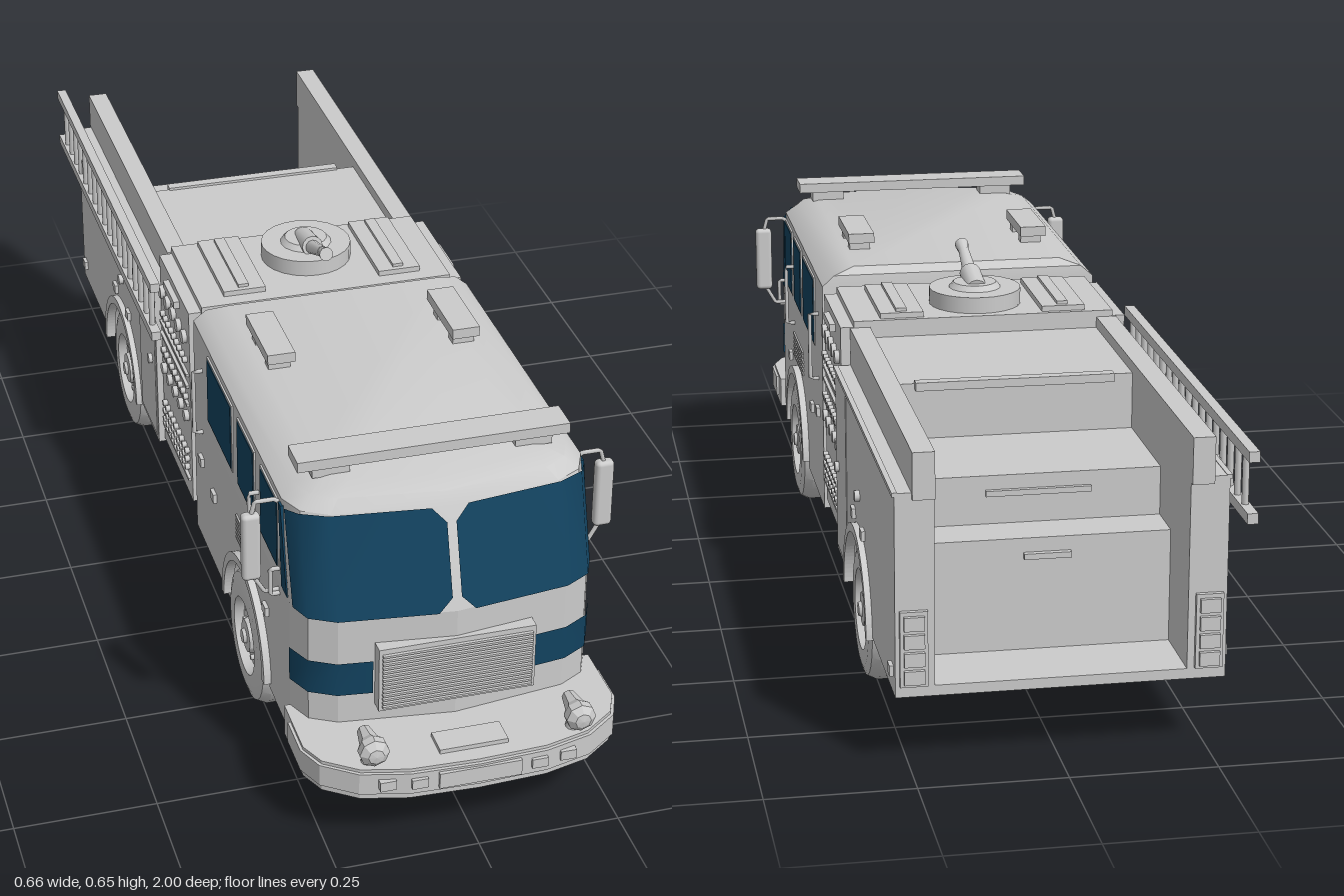
import * as THREE from 'three';
import { toCreasedNormals } from 'three/addons/utils/BufferGeometryUtils.js';
import { RoundedBoxGeometry } from 'three/addons/geometries/RoundedBoxGeometry.js';

const grey = new THREE.MeshStandardMaterial({ color: 0xcccccc });
const greyFlat = new THREE.MeshStandardMaterial({ color: 0xcccccc, flatShading: true });
const glass = new THREE.MeshStandardMaterial({ color: 0x12425f, side: THREE.DoubleSide });
const V = (x, y, z) => new THREE.Vector3(x, y, z);
const SIDES = [1, -1];
const WHEEL_Y = 0.125, FRONT_AXLE = 0.48, REAR_AXLE = -0.51;

// front of the cab: [x, setback] in plan, [y, z] in profile
const PLAN = [[0, 0], [0.2, -0.025], [0.245, -0.05], [0.265, -0.095]];
const RAKE = [[0.1, 0.855], [0.38, 0.855], [0.555, 0.8], [0.575, 0.785], [0.588, 0.75]];
function lerpTable(t, v) {
  for (let i = 1; i < t.length; i++) {
    const [a, fa] = t[i - 1], [b, fb] = t[i];
    if (v <= b || i === t.length - 1) return fa + (fb - fa) * (v - a) / (b - a);
  }
}
const frontZ = (x, y) => lerpTable(RAKE, y) + lerpTable(PLAN, Math.abs(x));

export function createModel() {
  const model = new THREE.Group();
  model.name = 'fireEngine';
  const add = (name, geo, mat = grey) => {
    const m = new THREE.Mesh(geo, mat);
    m.name = name;
    model.add(m);
    return m;
  };
  // box from min/max ranges
  const box = (name, [x0, x1], [y0, y1], [z0, z1], mat) => {
    const g = new THREE.BoxGeometry(Math.abs(x1 - x0), y1 - y0, z1 - z0);
    return add(name, g.translate((x0 + x1) / 2, (y0 + y1) / 2, (z0 + z1) / 2), mat);
  };
  const rod = (name, a, b, r0, r1 = r0, n = 12) => {
    const g = new THREE.CylinderGeometry(r1, r0, a.distanceTo(b), n);
    const m = add(name, g);
    m.position.copy(a).add(b).multiplyScalar(0.5);
    m.quaternion.setFromUnitVectors(V(0, 1, 0), b.clone().sub(a).normalize());
    return m;
  };
  const pipe = (name, pts, r) => {
    const path = new THREE.CurvePath();
    for (let i = 1; i < pts.length; i++) path.add(new THREE.LineCurve3(pts[i - 1], pts[i]));
    return add(name, new THREE.TubeGeometry(path, 16, r, 6));
  };
  // side shape (horizontal axis = -z) extruded from x0 to x1
  const extrudeX = (name, shape, x0, x1, mat) => {
    const lo = Math.min(x0, x1), depth = Math.abs(x1 - x0);
    const g = new THREE.ExtrudeGeometry(shape, { depth, bevelEnabled: false, curveSegments: 24 });
    return add(name, g.rotateY(Math.PI / 2).translate(lo, 0, 0), mat);
  };
  const poly = pts => new THREE.Shape(pts.map(([z, y]) => new THREE.Vector2(-z, y)));
  // plan polygon of a half outline (x >= 0, centre first), extruded upward
  const extrudeY = (name, half, y0, y1) => {
    const pts = [...half.slice().reverse(), ...half.map(([x, z]) => [-x, z])];
    const s = new THREE.Shape(pts.map(([x, z]) => new THREE.Vector2(x, -z)));
    const g = new THREE.ExtrudeGeometry(s, { depth: y1 - y0, bevelEnabled: false });
    return add(name, g.rotateX(-Math.PI / 2).translate(0, y0, 0));
  };
  // body side with a wheel arch; rest = outline after the arch
  const archShape = (zFront, y0, zc, r, rest) => {
    const s = new THREE.Shape(), d = Math.asin((y0 - WHEEL_Y) / r);
    s.moveTo(-zFront, y0);
    s.lineTo(-zc - r * Math.cos(d), y0);
    s.absarc(-zc, WHEEL_Y, r, Math.PI - d, d, true);
    rest.forEach(([z, y]) => s.lineTo(-z, y));
    return s;
  };
  // glass following the cab front: columns of [x, low, high]
  const frontGlass = (name, cols, s) => {
    const pos = [], idx = [];
    cols.forEach(([x, lo, hi], i) => {
      for (const y of [lo, hi]) pos.push(s * (x + 0.002), y, frontZ(x, y) + 0.004);
      if (i) idx.push(2 * i - 2, 2 * i, 2 * i - 1, 2 * i - 1, 2 * i, 2 * i + 1);
    });
    const g = new THREE.BufferGeometry();
    g.setAttribute('position', new THREE.Float32BufferAttribute(pos, 3));
    g.setIndex(s > 0 ? idx : idx.reverse());
    g.computeVertexNormals();
    add(name, g, glass);
  };

  // cab: arched lower body, rounded nose, lofted upper shell
  extrudeX('cabLowerBody', archShape(0.72, 0.11, FRONT_AXLE, 0.14,
    [[0.08, 0.11], [0.08, 0.38], [0.72, 0.38]]), -0.265, 0.265);
  extrudeY('cabNose', [...PLAN.map(([x, d]) => [x, 0.855 + d]), [0.265, 0.72]], 0.11, 0.38);
  const pos = [], idx = [];
  const rings = [[0.38, 0, 0.08], [0.555, 0.002, 0.08], [0.575, 0.025, 0.083], [0.588, 0.065, 0.1]];
  rings.forEach(([y, inset, back]) => {
    const half = PLAN.map(([x, d]) => [x * (1 - inset / 0.265), lerpTable(RAKE, y) + d]);
    half.push([0.265 - inset, back]);
    [...half.slice(1).reverse(), ...half.map(([x, z]) => [-x, z])].forEach(([x, z]) => pos.push(x, y, z));
  });
  const n = pos.length / 3 / rings.length, top = n * (rings.length - 1);
  for (let r = 0; r < rings.length - 1; r++) for (let i = 0; i < n; i++) {
    const a = r * n + i, b = r * n + (i + 1) % n;
    idx.push(a, a + n, b, b, a + n, b + n);
  }
  for (let i = 1; i < n - 1; i++) idx.push(top, top + i + 1, top + i);
  const shell = new THREE.BufferGeometry();
  shell.setAttribute('position', new THREE.Float32BufferAttribute(pos, 3));
  shell.setIndex(idx);
  add('cabUpperShell', toCreasedNormals(shell, 0.5));

  // grille
  box('grilleFrame', [-0.138, 0.138], [0.205, 0.33], [0.83, 0.862]);
  for (let i = 0; i < 14; i++) box('grilleSlat', [-0.132, 0.132], [0.212 + i * 0.008, 0.216 + i * 0.008], [0.85, 0.868]);

  // front bumper
  extrudeY('bumper', [[0, 0.99], [0.12, 0.985], [0.2, 0.965], [0.255, 0.925], [0.275, 0.88], [0.275, 0.76]], 0.112, 0.172);
  extrudeY('bumperStrip', [[0, 0.996], [0.12, 0.991], [0.203, 0.97], [0.26, 0.928], [0.28, 0.88], [0.28, 0.8]], 0.125, 0.166);
  box('bumperPlate', [-0.072, 0.072], [0.132, 0.162], [0.98, 1]);
  box('bumperTread', [-0.06, 0.06], [0.17, 0.18], [0.91, 0.96]);

  // hose bed with its stepped rear
  extrudeX('hoseBed', archShape(-0.2, 0.13, REAR_AXLE, 0.14, [[-0.93, 0.13], [-0.93, 0.148], [-0.8, 0.148],
    [-0.8, 0.345], [-0.72, 0.345], [-0.72, 0.43], [-0.5, 0.43], [-0.5, 0.53], [-0.2, 0.53]]), -0.212, 0.212);
  box('hoseBedLip', [-0.175, 0.175], [0.52, 0.535], [-0.515, -0.495]);
  box('stepHandle', [-0.09, 0.09], [0.395, 0.405], [-0.728, -0.72]);
  box('stepHandle', [-0.04, 0.04], [0.31, 0.32], [-0.81, -0.8]);

  // pump module and turntable nozzle
  box('pumpModule', [-0.24, 0.24], [0.13, 0.562], [-0.2, 0.05]);
  box('chassisLink', [-0.2, 0.2], [0.14, 0.4], [0.04, 0.09]);
  rod('turntable', V(0, 0.56, -0.1), V(0, 0.592, -0.1), 0.085, 0.085, 24);
  rod('turntableCap', V(0, 0.59, -0.1), V(0, 0.602, -0.1), 0.05, 0.04, 16);
  rod('nozzleBase', V(0, 0.59, -0.12), V(0, 0.605, -0.05), 0.02);
  rod('nozzleBarrel', V(0, 0.6, -0.06), V(0, 0.63, 0.02), 0.014, 0.01);
  rod('nozzleTip', V(0, 0.628, 0.015), V(0, 0.637, 0.045), 0.009, 0.013);

  // roof light bar
  box('lightBar', [-0.238, 0.238], [0.606, 0.625], [0.655, 0.715]);

  // ladder hung on the right flank
  for (const y of [0.428, 0.532]) box('ladderRail', [-0.304, -0.286], [y - 0.009, y + 0.009], [-1, -0.1]);
  for (let i = 0; i < 18; i++) rod('ladderRung', V(-0.295, 0.43, -0.95 + i * 0.048), V(-0.295, 0.53, -0.95 + i * 0.048), 0.006, 0.006, 8);
  for (const z of [-0.3, -0.8]) box('ladderBracket', [-0.295, -0.24], [0.44, 0.47], [z - 0.01, z + 0.01]);

  // wheel profile: [radius, outward offset]
  const tyre = [[0, -0.045], [0.1, -0.045], [0.118, -0.038], [0.125, -0.022], [0.125, 0.024], [0.117, 0.04],
    [0.1, 0.045], [0.072, 0.045], [0.066, 0.028], [0.036, 0.026], [0.03, 0.042], [0.014, 0.043], [0.012, 0.049], [0, 0.049]];
  const wheelGeo = toCreasedNormals(new THREE.LatheGeometry(tyre.map(p => new THREE.Vector2(...p)), 28), 0.5);
  const wheel = (name, x, z, s) => {
    const m = add(name, wheelGeo);
    m.rotation.z = -s * Math.PI / 2;
    m.position.set(s * x, WHEEL_Y, z);
    for (let i = 0; i < 8; i++) {
      const a = i * Math.PI / 4, y = WHEEL_Y + 0.05 * Math.sin(a), bz = z + 0.05 * Math.cos(a);
      rod('wheelNut', V(s * (x + 0.02), y, bz), V(s * (x + 0.034), y, bz), 0.005, 0.005, 6);
    }
  };
  for (const z of [FRONT_AXLE, REAR_AXLE]) rod('axle', V(-0.2, WHEEL_Y, z), V(0.2, WHEEL_Y, z), 0.016);

  for (const s of SIDES) {
    const X = (a, b) => [s * a, s * b];
    // windows
    frontGlass('windshield', [[0.006, 0.405, 0.53], [0.03, 0.38, 0.555], [0.2, 0.38, 0.555],
      [0.245, 0.38, 0.553], [0.261, 0.382, 0.545]], s);
    frontGlass('frontLampBand', [[0.14, 0.23, 0.295], [0.2, 0.23, 0.295], [0.245, 0.23, 0.295], [0.265, 0.23, 0.295]], s);
    extrudeX('quarterWindow', poly([[0.75, 0.387], [0.715, 0.387], [0.698, 0.545], [0.712, 0.545]]), s * 0.255, s * 0.267, glass);
    for (const [z0, z1] of [[0.58, 0.69], [0.42, 0.53], [0.2, 0.372]]) {
      box('windowFrame', X(0.25, 0.2665), [0.407, 0.543], [z0 - 0.005, z1 + 0.005]);
      box('sideWindow', X(0.25, 0.268), [0.412, 0.538], [z0, z1], glass);
    }
    // wheels and fender flares
    wheel('frontWheel', 0.23, FRONT_AXLE, s);
    wheel('rearOuterWheel', 0.23, REAR_AXLE, s);
    wheel('rearInnerWheel', 0.135, REAR_AXLE, s);
    for (const [z, x] of [[FRONT_AXLE, 0.26], [REAR_AXLE, 0.268]]) {
      const f = new THREE.Shape();
      f.absarc(-z, WHEEL_Y, 0.153, 0, Math.PI, false);
      f.absarc(-z, WHEEL_Y, 0.137, Math.PI, 0, true);
      extrudeX('fender', f, s * x, s * (x + 0.018));
    }
    // body flanks: cabinets below, thin hose bed wall above
    extrudeX('sideCabinet', archShape(-0.2, 0.13, REAR_AXLE, 0.14,
      [[-0.93, 0.13], [-0.93, 0.48], [-0.2, 0.48]]), s * 0.21, s * 0.275);
    box('hoseBedWall', X(0.21, 0.247), [0.47, 0.55], [-0.94, -0.2]);
    box('cabinetTrim', X(0.27, 0.279), [0.474, 0.481], [-0.93, -0.2]);
    box('cabinetDoor', X(0.27, 0.2765), [0.14, 0.47], [-0.345, -0.21]);
    // tail lights
    box('tailLightPanel', X(0.222, 0.268), [0.15, 0.28], [-0.938, -0.925]);
    for (let i = 0; i < 4; i++) box('tailLight', X(0.228, 0.262), [0.156 + i * 0.031, 0.18 + i * 0.031], [-0.945, -0.93]);
    // pump panel with gauges, valves and shelves
    box('pumpPanel', X(0.23, 0.264), [0.14, 0.55], [-0.195, 0.045]);
    const knob = (y, z, r) => rod('gauge', V(s * 0.26, y, z), V(s * 0.273, y, z), r, r, 12);
    for (let i = 0; i < 5; i++) { knob(0.487, 0.015 - i * 0.045, 0.013); knob(0.318, 0.02 - i * 0.046, 0.011); }
    for (let i = 0; i < 9; i++) for (const y of [0.44, 0.36, 0.24, 0.222, 0.204]) knob(y, 0.02 - i * 0.023, 0.006);
    for (const y of [0.41, 0.385, 0.345, 0.18]) box('panelShelf', X(0.26, 0.27), [y, y + 0.006], [-0.185, 0.035]);
    box('panelLamp', X(0.26, 0.275), [0.522, 0.536], [-0.12, -0.03]);
    box('deckWalkway', X(0.11, 0.19), [0.56, 0.572], [-0.19, 0.02]);
    box('walkwayRail', X(0.14, 0.16), [0.57, 0.578], [-0.18, 0.01]);
    // roof equipment
    box('lightBarFoot', X(0.145, 0.21), [0.585, 0.61], [0.665, 0.705]);
    box('roofBeacon', X(0.145, 0.195), [0.606, 0.625], [0.205, 0.36]);
    for (const z of [0.23, 0.32]) box('roofBeaconFoot', X(0.15, 0.19), [0.585, 0.608], [z, z + 0.025]);
    // mirror on bent arms
    const mirror = add('mirror', new RoundedBoxGeometry(0.033, 0.13, 0.022, 2, 0.008));
    mirror.position.set(s * 0.313, 0.46, 0.69);
    pipe('mirrorArm', [V(s * 0.255, 0.535, 0.69), V(s * 0.272, 0.546, 0.69), V(s * 0.305, 0.546, 0.69), V(s * 0.312, 0.52, 0.69)], 0.004);
    pipe('mirrorArm', [V(s * 0.262, 0.365, 0.69), V(s * 0.29, 0.365, 0.69), V(s * 0.31, 0.4, 0.69)], 0.004);
    // grab rails, vents and marker lamps
    for (const [z, y0, y1] of [[0.555, 0.355, 0.475], [0.145, 0.355, 0.485], [0.695, 0.36, 0.41]])
      pipe('grabRail', [V(s * 0.262, y0, z), V(s * 0.281, y0, z), V(s * 0.281, y1, z), V(s * 0.26, y1, z)], 0.004);
    for (let i = 0; i < 6; i++) box('engineVent', X(0.26, 0.268), [0.284 + i * 0.009, 0.289 + i * 0.009], [0.4, 0.56]);
    for (const [z, y] of [[0.61, 0.27], [0.235, 0.27], [0.14, 0.29]]) box('cabMarkerLamp', X(0.26, 0.272), [y - 0.009, y + 0.009], [z - 0.012, z + 0.012]);
    for (const [z, y] of [[-0.45, 0.285], [-0.57, 0.285], [-0.9, 0.17]]) box('bodyMarkerLamp', X(0.27, 0.282), [y - 0.009, y + 0.009], [z - 0.012, z + 0.012]);
    for (const [z, y] of [[-0.24, 0.3], [-0.51, 0.335]]) rod('fillerCap', V(s * 0.27, y, z), V(s * 0.284, y, z), 0.01);
    // bumper lamps and siren lights on stalks
    for (const x of [0.105, 0.158]) box('bumperLamp', X(x - 0.014, x + 0.014), [0.138, 0.156], [0.96, x > 0.12 ? 0.99 : 0.998]);
    const siren = [[0, -0.05], [0.012, -0.045], [0.018, -0.01], [0.026, 0.005], [0.026, 0.02], [0.014, 0.03], [0, 0.032]];
    const m = add('sirenLight', new THREE.LatheGeometry(siren.map(p => new THREE.Vector2(...p)), 8), greyFlat);
    m.rotation.x = Math.PI / 2;
    m.position.set(s * 0.18, 0.214, 0.962);
    rod('sirenStalk', V(s * 0.18, 0.165, 0.945), V(s * 0.18, 0.21, 0.945), 0.014, 0.009);
  }
  return model;
}
